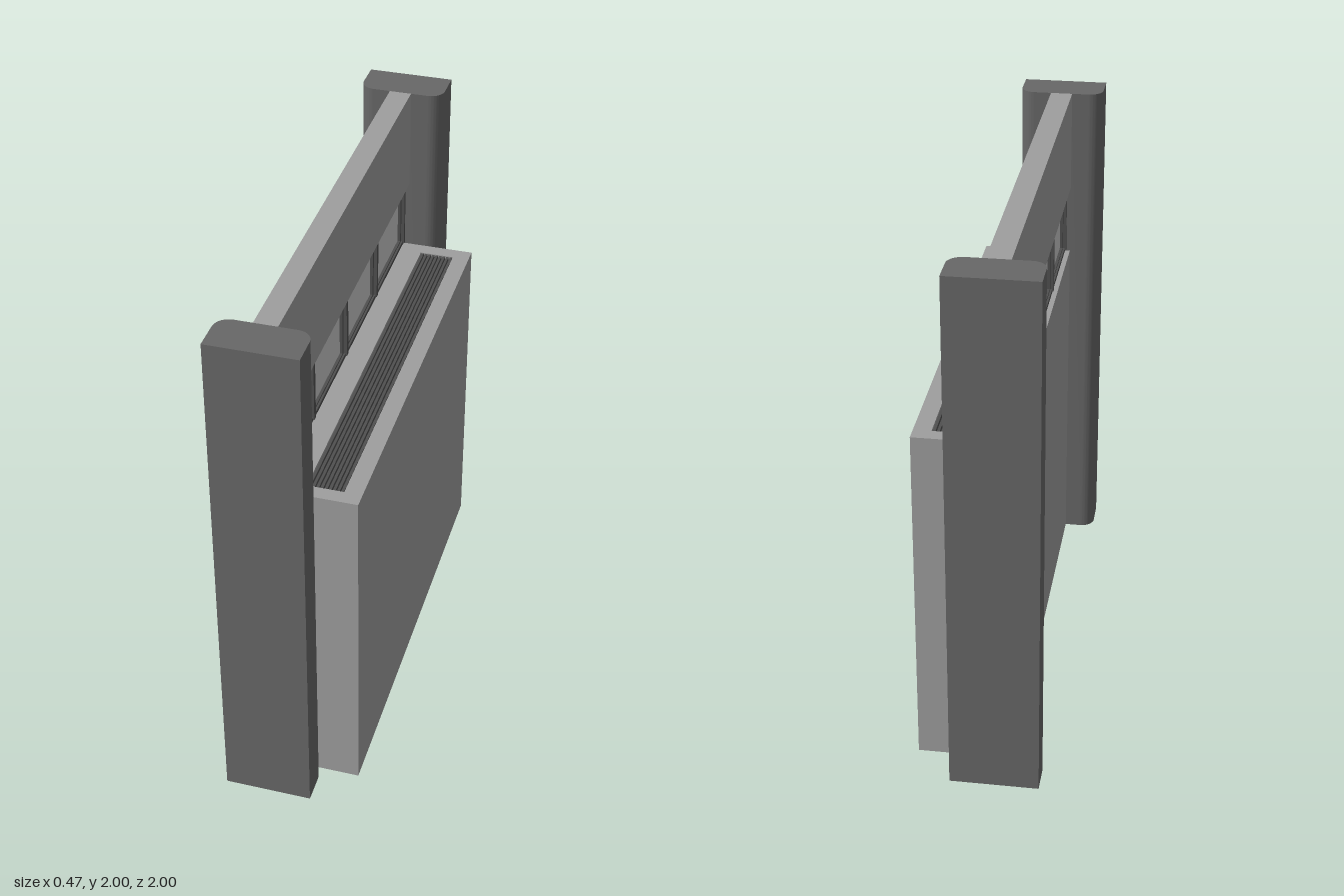
import * as THREE from 'three';
import { toCreasedNormals } from 'three/addons/utils/BufferGeometryUtils.js';

const material = (name, color) => new THREE.MeshStandardMaterial({ name, color });

export function createModel() {
  const model = new THREE.Group();
  model.name = 'windowWall';
  const wallGrey = material('wall grey', 0x9f9f9f);
  const columnGrey = material('column grey', 0x686868);
  const frameGrey = material('frame grey', 0x505050);
  const glass = material('window glass', 0xcacaca);

  const add = (name, geometry, mat, parent = model) => {
    const mesh = new THREE.Mesh(geometry, mat);
    mesh.name = name;
    parent.add(mesh);
    return mesh;
  };
  // box given by its limits on each axis
  const block = (name, [x0, x1], [y0, y1], [z0, z1], mat, parent) => {
    const mesh = add(name, new THREE.BoxGeometry(x1 - x0, y1 - y0, z1 - z0), mat, parent);
    mesh.position.set((x0 + x1) / 2, (y0 + y1) / 2, (z0 + z1) / 2);
    return mesh;
  };
  const rectangle = (x0, x1, y0, y1, Kind = THREE.Shape) => new Kind([
    new THREE.Vector2(x0, y0), new THREE.Vector2(x1, y0),
    new THREE.Vector2(x1, y1), new THREE.Vector2(x0, y1)]);
  // plan shape raised straight up
  const raise = (shape, y0, y1) => new THREE.ExtrudeGeometry(shape, { depth: y1 - y0, bevelEnabled: false })
    .rotateX(-Math.PI / 2).translate(0, y0, 0);

  // columns, rounded on the corners that face the wall
  const r = 0.055;
  const profile = new THREE.Shape();
  profile.moveTo(-0.235, 1);
  profile.lineTo(-0.235, 0.84 + r);
  profile.absarc(-0.235 + r, 0.84 + r, r, Math.PI, Math.PI * 1.5);
  profile.absarc(0.092 - r, 0.84 + r, r, Math.PI * 1.5, Math.PI * 2);
  profile.lineTo(0.092, 1);
  for (const side of [1, -1]) {
    const points = profile.getPoints(8).map(p => new THREE.Vector2(p.x, p.y * side));
    add(side > 0 ? 'backColumn' : 'frontColumn',
      toCreasedNormals(raise(new THREE.Shape(points), 0, 2), 0.6), columnGrey);
  }

  // wall above and below the window strip
  const wallX = [-0.115, -0.03], wallZ = [-0.84, 0.84];
  block('lowerWall', wallX, [0, 1.325], wallZ, wallGrey);
  block('upperWall', wallX, [1.6, 2], wallZ, wallGrey);

  // cabinet with a shallow slatted well in its top
  const cabinet = new THREE.Group();
  cabinet.name = 'cabinet';
  model.add(cabinet);
  const well = 1.295;
  block('cabinetBody', [-0.03, 0.235], [0, well], wallZ, wallGrey, cabinet);
  const rim = rectangle(-0.03, 0.235, -0.84, 0.84);
  rim.holes.push(rectangle(0.037, 0.17, -0.785, 0.785, THREE.Path));
  add('cabinetRim', raise(rim, well, 1.325), wallGrey, cabinet);
  block('grilleBed', [0.037, 0.17], [well, well + 0.005], [-0.785, 0.785], frameGrey, cabinet);
  const slats = 9, pitch = 0.133 / slats;
  for (let i = 0; i < slats; i++) {
    const x = 0.037 + pitch * (i + 0.5);
    block('grilleSlat', [x - 0.005, x + 0.005], [well + 0.004, 1.322], [-0.785, 0.785], frameGrey, cabinet);
  }

  // window strip: rails, posts and four framed panes
  const windows = new THREE.Group();
  windows.name = 'windowStrip';
  model.add(windows);
  const frameX = [-0.095, -0.05];
  block('bottomRail', frameX, [1.325, 1.34], wallZ, frameGrey, windows);
  block('topRail', frameX, [1.565, 1.58], wallZ, frameGrey, windows);
  block('headStrip', [-0.09, -0.055], [1.58, 1.6], [-0.83, 0.83], frameGrey, windows);
  const bay = 0.418;
  for (let i = 0; i <= 4; i++) {
    const z = (i - 2) * bay;
    block('post', [-0.1, -0.045], [1.33, 1.575], [z - 0.01, z + 0.01], frameGrey, windows);
  }
  const sash = rectangle(-bay / 2, bay / 2, 1.335, 1.57);
  sash.holes.push(rectangle(-0.185, 0.185, 1.347, 1.556, THREE.Path));
  const sashGeometry = new THREE.ExtrudeGeometry(sash, { depth: 0.03, bevelEnabled: false })
    .translate(0, 0, -0.015).rotateY(Math.PI / 2);
  for (let i = 0; i < 4; i++) {
    const z = (i - 1.5) * bay;
    add('sash', sashGeometry, frameGrey, windows).position.set(-0.0725, 0, z);
    block('pane', [-0.0765, -0.0685], [1.345, 1.558], [z - 0.187, z + 0.187], glass, windows);
  }
  return model;
}
